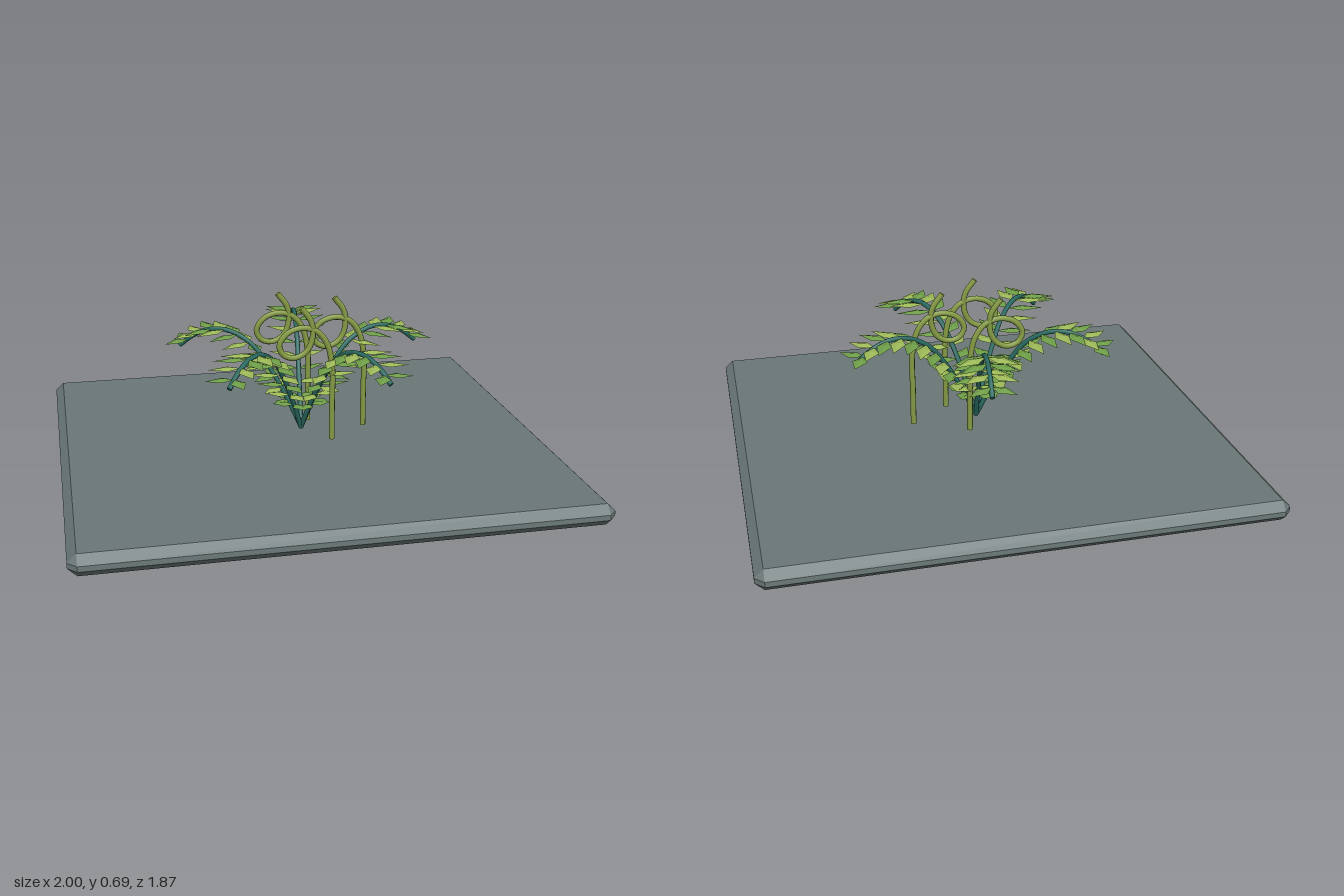
import * as THREE from 'three';
import { ConvexGeometry } from 'three/addons/geometries/ConvexGeometry.js';

function material(name, color) {
  const m = new THREE.MeshStandardMaterial({ color });
  m.name = name;
  return m;
}

function addMesh(parent, name, geometry, mat) {
  const mesh = new THREE.Mesh(geometry, mat);
  mesh.name = name;
  parent.add(mesh);
  return mesh;
}

// Round stalk along a curve, closed with a disc at each end
function addStalk(parent, name, curve, segments, radius, mat) {
  addMesh(parent, name, new THREE.TubeGeometry(curve, segments, radius, 8), mat);
  for (const t of [0, 1]) {
    const cap = addMesh(parent, name + 'End', new THREE.CircleGeometry(radius, 8), mat);
    const outward = curve.getTangent(t).multiplyScalar(t ? 1 : -1);
    cap.position.copy(curve.getPoint(t));
    cap.quaternion.setFromUnitVectors(new THREE.Vector3(0, 0, 1), outward);
  }
}

// Slab with every edge and corner chamfered
function slabGeometry(hx, hz, height, bevel) {
  const points = [];
  for (const sx of [-1, 1]) for (const sz of [-1, 1]) for (const top of [0, 1]) {
    const y = top * height;
    const shoulder = top ? height - 0.032 : 0.032;
    points.push(
      new THREE.Vector3(sx * (hx - bevel), y, sz * (hz - bevel)),
      new THREE.Vector3(sx * hx, shoulder, sz * (hz - bevel)),
      new THREE.Vector3(sx * (hx - bevel), shoulder, sz * hz));
  }
  return new ConvexGeometry(points);
}

// Faceted leaflet of unit length along +x, widest nearer its root
function leafletGeometry() {
  const g = new THREE.OctahedronGeometry(1);
  const p = g.attributes.position;
  for (let i = 0; i < p.count; i++) {
    const x = p.getX(i);
    p.setXYZ(i, x > 0.5 ? 1 : x < -0.5 ? 0 : 0.42, p.getY(i) * 0.07, p.getZ(i) * 0.22);
  }
  g.computeVertexNormals();
  return g;
}

export function createModel() {
  const model = new THREE.Group();
  model.name = 'fernOnSlab';
  const stone = material('slateGrey', 0x6b7878);
  const stemMat = material('tealStem', 0x2a6b62);
  const leafMats = [material('leafGreen', 0x6f9f48), material('limeGreen', 0x9dba58)];
  const tendrilMat = material('oliveGreen', 0x869c45);

  addMesh(model, 'baseSlab', slabGeometry(1, 0.933, 0.085, 0.034), stone);

  // Five arching fronds around the centre
  const arch = new THREE.CatmullRomCurve3([
    [0, 0.125], [0.06, 0.25], [0.13, 0.372], [0.21, 0.475],
    [0.3, 0.525], [0.38, 0.53], [0.46, 0.5], [0.525, 0.45],
  ].map(([x, y]) => new THREE.Vector3(x, y, 0)));
  const leaflet = leafletGeometry();
  const pairs = 11;
  for (let f = 0; f < 5; f++) {
    const frond = new THREE.Group();
    frond.name = 'frond';
    frond.rotation.y = THREE.MathUtils.degToRad(11 + 72 * f);
    addStalk(frond, 'frondStem', arch, 28, 0.01, stemMat);
    // Paired leaflets, longest around the middle of the arch
    for (let i = 0; i < pairs; i++) {
      const k = i / (pairs - 1);
      const length = 0.085 + 0.07 * Math.sin(Math.PI * Math.min(1, k * 0.85 + 0.02));
      for (const side of [-1, 1]) {
        const leaf = addMesh(frond, 'leaflet', leaflet, leafMats[i % 2]);
        leaf.position.copy(arch.getPointAt(0.17 + 0.77 * k));
        leaf.rotation.set(0, side * (1.12 - 0.2 * k), 0.04 - 0.08 * k, 'YXZ');
        leaf.scale.set(length, 0.13, 0.14);
      }
    }
    model.add(frond);
  }

  // Three curling tendrils standing in parallel planes
  const curl = new THREE.CatmullRomCurve3([
    [0, 0.115], [0, 0.28], [0, 0.42], [-0.022, 0.525], [-0.065, 0.58],
    [-0.125, 0.597], [-0.185, 0.578], [-0.218, 0.53], [-0.2, 0.488], [-0.155, 0.474],
    [-0.108, 0.497], [-0.083, 0.55], [-0.087, 0.62], [-0.128, 0.68],
  ].map(([x, y]) => new THREE.Vector3(x, y, 0)));
  for (const [x, z] of [[0.052, -0.11], [0.268, 0], [0.102, 0.13]]) {
    const tendril = new THREE.Group();
    tendril.name = 'tendril';
    tendril.position.set(x, 0, z);
    addStalk(tendril, 'tendrilStalk', curl, 64, 0.012, tendrilMat);
    model.add(tendril);
  }
  return model;
}
